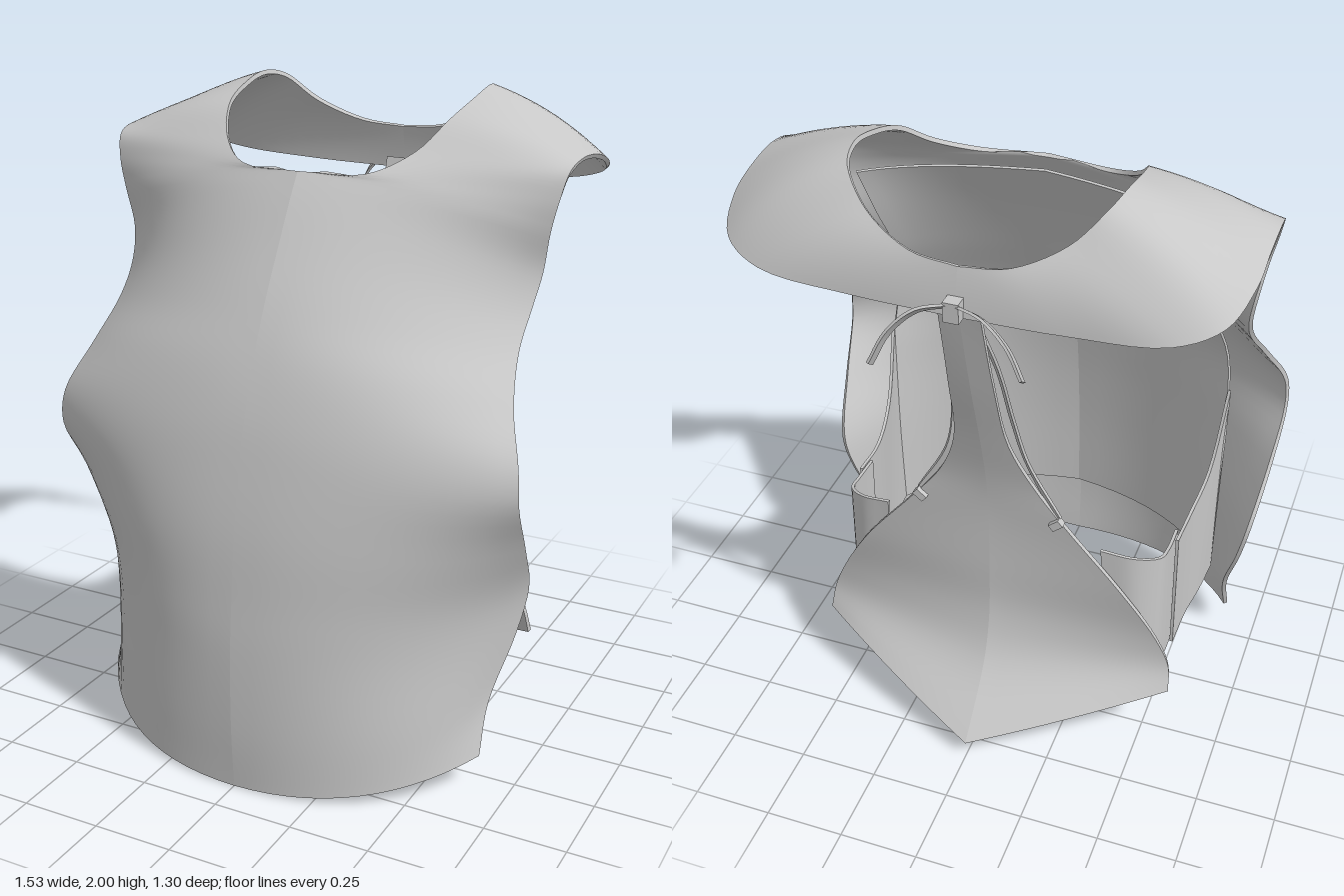
import * as THREE from 'three';
import { toCreasedNormals } from 'three/addons/utils/BufferGeometryUtils.js';

const cloth = new THREE.MeshStandardMaterial({ color: 0xc8c8c8 });
cloth.name = 'greyCloth';

// Flat list of coordinates -> points
function points(list) {
  const out = [];
  for (let i = 0; i < list.length; i += 3) out.push(new THREE.Vector3(list[i], list[i + 1], list[i + 2]));
  return out;
}

// Smooth curve through points, with an optional sharp corner at point k
function smooth(list, k) {
  const curve = l => new THREE.CatmullRomCurve3(l, false, 'centripetal');
  if (!k) return curve(list);
  const a = curve(list.slice(0, k + 1)), b = curve(list.slice(k)), last = list.length - 1;
  return { getPoint: t => t * last <= k ? a.getPoint(t * last / k) : b.getPoint((t * last - k) / (last - k)) };
}

// Thick sheet spanned between two or three rails (each an array of matching points).
// side = -1 mirrors it across x = 0; corner marks a sharp point on the first rail.
function sheet(name, rails, { across = 8, per = 4, thick = 0.014, side = 1, corner = 0 } = {}) {
  const rows = (rails[0].length - 1) * per, w = across + 1, count = (rows + 1) * w;
  const curves = rails.map((r, i) => smooth(r, i === 0 ? corner : 0));
  const pos = [], index = [];
  for (let j = 0; j <= rows; j++) {
    const p = curves.map(c => c.getPoint(j / rows));
    for (let i = 0; i <= across; i++) {
      const s = i / across;
      const k = p.length === 2 ? [1 - s, s] : [(2 * s - 1) * (s - 1), 4 * s * (1 - s), s * (2 * s - 1)];
      const q = new THREE.Vector3();
      p.forEach((v, n) => q.addScaledVector(v, k[n]));
      pos.push(side * q.x, q.y, q.z);
    }
  }
  const quad = (a, b, c, d) => side > 0 ? index.push(a, b, c, a, c, d) : index.push(a, c, b, a, d, c);
  for (let j = 0; j < rows; j++) for (let i = 0; i < across; i++) {
    const a = j * w + i;
    quad(a, a + 1, a + 1 + w, a + w);
  }
  // inner face, offset along the normals
  const outer = new THREE.BufferGeometry();
  outer.setAttribute('position', new THREE.Float32BufferAttribute(pos, 3));
  outer.setIndex(index.slice());
  outer.computeVertexNormals();
  const n = outer.attributes.normal.array;
  for (let i = 0; i < count * 3; i++) pos.push(pos[i] - n[i] * thick);
  for (let j = 0; j < rows; j++) for (let i = 0; i < across; i++) {
    const a = count + j * w + i;
    quad(a, a + w, a + 1 + w, a + 1);
  }
  // rim around the border
  const rim = (a, b) => quad(b, a, a + count, b + count);
  for (let i = 0; i < across; i++) {
    rim(i, i + 1);
    rim(rows * w + i + 1, rows * w + i);
  }
  for (let j = 0; j < rows; j++) {
    rim((j + 1) * w, j * w);
    rim(j * w + across, (j + 1) * w + across);
  }
  const geo = new THREE.BufferGeometry();
  geo.setAttribute('position', new THREE.Float32BufferAttribute(pos, 3));
  geo.setIndex(index);
  const mesh = new THREE.Mesh(toCreasedNormals(geo, 0.8), cloth);
  mesh.name = name;
  return mesh;
}

// Rail between centre and edge; x and z blend separately to set the bulge
function between(centre, edge, x, z) {
  return centre.map((c, i) => {
    const m = c.clone().lerp(edge[i], x);
    m.z = THREE.MathUtils.lerp(c.z, edge[i].z, z);
    return m;
  });
}

// Flat ribbon along a path, with a constant width vector
function ribbon(name, path, width, side) {
  const offset = sign => path.map(p => p.clone().addScaledVector(width, sign * 0.5));
  return sheet(name, [offset(-1), offset(1)], { across: 2, per: 5, thick: 0.008, side });
}

export function createModel() {
  const model = new THREE.Group();
  model.name = 'chestGuard';

  // Front and yoke: centre line that becomes the neckline
  const neck = points([
    0, 0, 0.64, 0, 0.2, 0.65, 0, 0.45, 0.645, 0, 0.6, 0.632, 0, 0.8, 0.61, 0, 1, 0.572, 0, 1.15, 0.535,
    0, 1.3, 0.48, 0, 1.45, 0.41, 0, 1.6, 0.325, 0, 1.72, 0.255, 0, 1.79, 0.21,
    0.2, 1.793, 0.175, 0.31, 1.85, 0.08, 0.365, 1.93, -0.03, 0.385, 1.975, -0.16, 0.385, 2, -0.29,
    0.36, 1.98, -0.39, 0.28, 1.9, -0.46, 0.14, 1.835, -0.513, 0, 1.82, -0.525]);
  // Middle of the cloth
  const middle = points([
    0.38, 0.03, 0.56, 0.41, 0.2, 0.54, 0.42, 0.44, 0.52, 0.43, 0.58, 0.515, 0.43, 0.78, 0.53, 0.42, 0.98, 0.525,
    0.41, 1.12, 0.495, 0.38, 1.27, 0.435, 0.36, 1.4, 0.35, 0.36, 1.53, 0.266, 0.38, 1.64, 0.2, 0.4, 1.73, 0.155,
    0.47, 1.77, 0.11, 0.54, 1.83, 0.05, 0.57, 1.895, -0.04, 0.58, 1.92, -0.17, 0.58, 1.92, -0.31,
    0.55, 1.885, -0.43, 0.43, 1.82, -0.505, 0.23, 1.765, -0.535, 0, 1.75, -0.54]);
  // Side edge, armhole and outer shoulder edge
  const armhole = points([
    0.652, 0.1, 0.3, 0.652, 0.25, 0.24, 0.7, 0.45, 0.16, 0.73, 0.6, 0.145, 0.755, 0.78, 0.26, 0.767, 0.95, 0.365,
    0.758, 1.06, 0.358, 0.705, 1.2, 0.27, 0.672, 1.33, 0.155, 0.675, 1.43, 0.075, 0.69, 1.53, 0.035, 0.71, 1.65, 0.045,
    0.73, 1.74, 0.04, 0.745, 1.815, 0.01, 0.75, 1.84, -0.07, 0.75, 1.835, -0.2, 0.745, 1.8, -0.34,
    0.7, 1.745, -0.47, 0.58, 1.705, -0.535, 0.3, 1.685, -0.548, 0, 1.68, -0.55]);

  // Lining inside the front, set in from the armholes
  const liningCentre = points([
    0, 0.25, 0.615, 0, 0.6, 0.595, 0, 0.88, 0.56, 0, 1.12, 0.505, 0, 1.37, 0.395, 0, 1.57, 0.295, 0, 1.75, 0.185]);
  const liningEdge = points([
    0.58, 0.25, 0.3, 0.585, 0.6, 0.29, 0.59, 0.9, 0.3, 0.57, 1.12, 0.33, 0.52, 1.37, 0.215, 0.53, 1.55, 0.115, 0.55, 1.72, 0.04]);
  const liningMiddle = between(liningCentre, liningEdge, 0.6, 0.33);

  // Back plate: centre line and edge, from the tie down to the hem
  const backCentre = points([
    0, 1.71, -0.535, 0, 1.4, -0.46, 0, 1.15, -0.39, 0, 0.98, -0.35, 0, 0.84, -0.335,
    0, 0.62, -0.335, 0, 0.42, -0.345, 0, 0.26, -0.4, 0, 0.06, -0.58]);
  const backEdge = points([
    0.06, 1.71, -0.535, 0.068, 1.4, -0.455, 0.085, 1.15, -0.385, 0.15, 0.98, -0.345, 0.25, 0.84, -0.335,
    0.42, 0.62, -0.315, 0.535, 0.42, -0.28, 0.58, 0.31, -0.275, 0.59, 0.23, -0.3]);
  const backMiddle = between(backCentre, backEdge, 0.5, 0.46);

  // Side belt: rear tab, then the overlapping part running into the lining
  const tabLow = points([0.38, 0.3, -0.285, 0.47, 0.25, -0.28, 0.525, 0.235, -0.22, 0.535, 0.24, -0.15, 0.535, 0.24, -0.05]);
  const tabHigh = points([0.35, 0.76, -0.305, 0.45, 0.74, -0.285, 0.52, 0.71, -0.22, 0.53, 0.695, -0.15, 0.53, 0.69, -0.05]);
  const beltLow = points([0.55, 0.25, -0.1, 0.555, 0.25, 0.05, 0.57, 0.25, 0.17, 0.58, 0.25, 0.305]);
  const beltHigh = points([0.545, 0.69, -0.1, 0.55, 0.685, 0.05, 0.57, 0.75, 0.19, 0.59, 1.0, 0.31]);

  // Lacing strap from the plate up to the tie
  const strap = points([0.23, 0.88, -0.335, 0.13, 1.06, -0.34, 0.095, 1.22, -0.365, 0.075, 1.45, -0.435, 0.04, 1.69, -0.53]);
  const strapInner = strap.map((p, i) => new THREE.Vector3(p.x - 0.02, p.y - 0.012, p.z + (i % 4 ? 0.025 : 0.008)));

  for (const side of [1, -1]) {
    const label = side > 0 ? 'left' : 'right';
    model.add(
      sheet(label + 'FrontAndYoke', [neck, middle, armhole], { across: 14, per: 5, side, corner: 11 }),
      sheet(label + 'Lining', [liningCentre, liningMiddle, liningEdge], { across: 10, per: 5, thick: 0.008, side }),
      sheet(label + 'BackPlate', [backCentre, backMiddle, backEdge], { across: 10, per: 5, side }),
      sheet(label + 'RearTab', [tabLow, tabHigh], { across: 5, per: 4, thick: 0.01, side }),
      sheet(label + 'SideBelt', [beltLow, beltHigh], { across: 6, per: 5, thick: 0.01, side }),
      sheet(label + 'LacingStrap', [strap, strapInner], { across: 2, per: 5, thick: 0.008, side }));

    // Small loop where the strap passes through the plate
    const loop = new THREE.Mesh(new THREE.BoxGeometry(0.04, 0.025, 0.025), cloth);
    loop.name = label + 'StrapLoop';
    loop.position.set(side * 0.22, 0.86, -0.34);
    loop.rotation.z = side * 0.7;
    model.add(loop);
  }

  // Knot and loose ribbon ends
  const knot = new THREE.Mesh(new THREE.BoxGeometry(0.045, 0.06, 0.04), cloth);
  knot.name = 'tieKnot';
  knot.position.set(0, 1.71, -0.562);
  const width = new THREE.Vector3(0, 0.022, -0.028);
  model.add(knot,
    ribbon('leftTieEnd', points([0.01, 1.72, -0.567, 0.09, 1.705, -0.595, 0.16, 1.64, -0.62, 0.21, 1.54, -0.64]), width, 1),
    ribbon('rightTieEnd', points([0.01, 1.72, -0.567, 0.09, 1.71, -0.59, 0.16, 1.65, -0.605, 0.2, 1.55, -0.6]), width, -1));
  return model;
}
